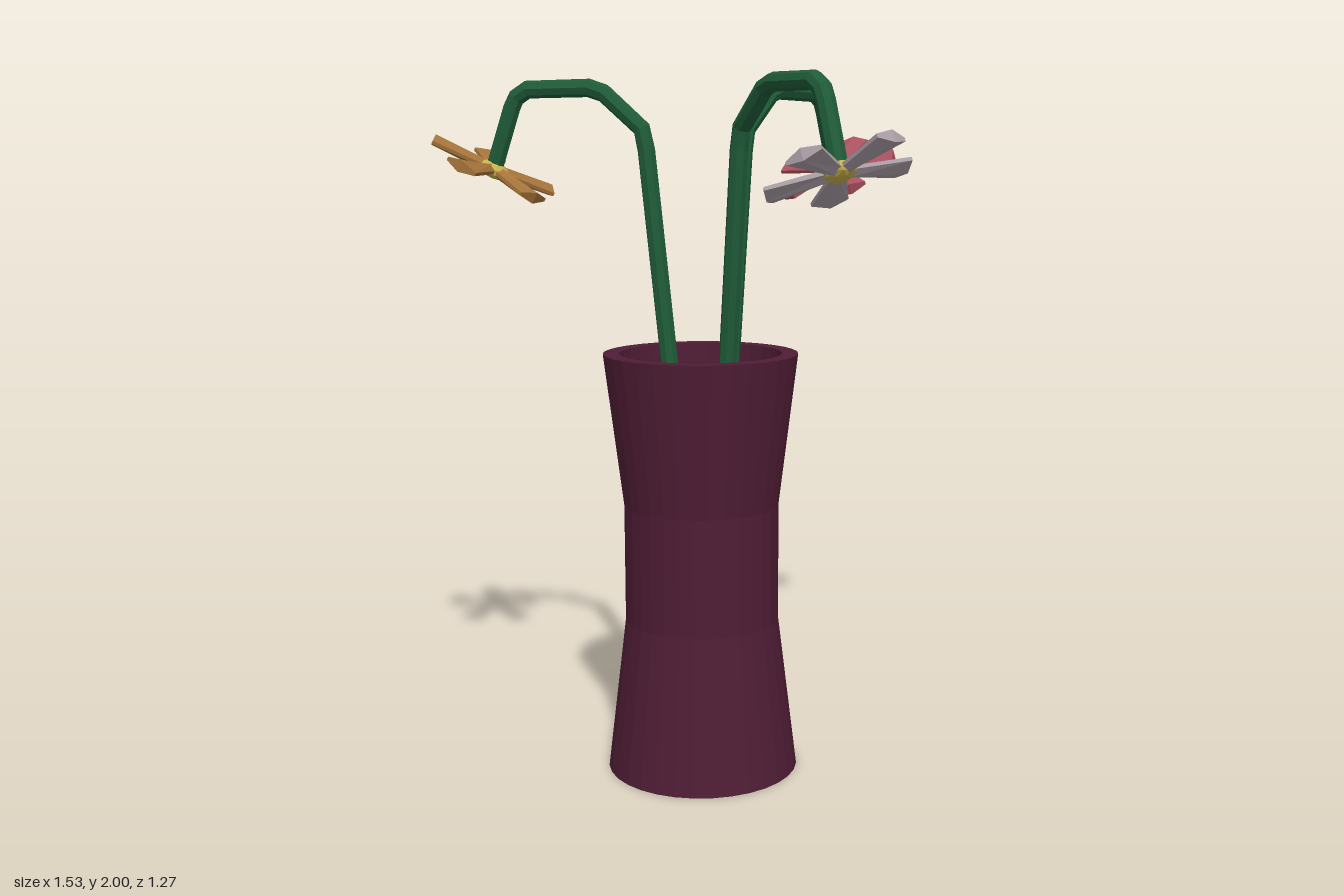
import * as THREE from 'three';

const mat = (color, flatShading = true) => new THREE.MeshStandardMaterial({ color, flatShading });
const deg = THREE.MathUtils.degToRad;

function part(name, geometry, material) {
  const mesh = new THREE.Mesh(geometry, material);
  mesh.name = name;
  return mesh;
}

// Path that puts one tube ring exactly on each given point
class Polyline extends THREE.Curve {
  constructor(points) {
    super();
    this.points = points;
  }
  getPointAt(t, target = new THREE.Vector3()) {
    return target.copy(this.points[Math.round(t * (this.points.length - 1))]);
  }
  getTangentAt(t, target = new THREE.Vector3()) {
    const p = this.points, i = Math.round(t * (p.length - 1));
    target.set(0, 0, 0);
    if (i > 0) target.add(p[i].clone().sub(p[i - 1]).normalize());
    if (i < p.length - 1) target.add(p[i + 1].clone().sub(p[i]).normalize());
    return target.normalize();
  }
}

// Stem side profile: outward distance, height
const STEM = [
  [-0.005, 0.05], [0.116, 1.23], [0.175, 1.8], [0.188, 1.86], [0.3, 1.96],
  [0.345, 1.975], [0.53, 1.972], [0.565, 1.95], [0.58, 1.92], [0.64, 1.745],
];

function stemGeometry() {
  const points = STEM.map(([x, y]) => new THREE.Vector3(x, y, 0));
  return new THREE.TubeGeometry(new Polyline(points), points.length - 1, 0.026, 8);
}

// Petal along +x: a thin slab flared outward, with a ridge down the middle
function petalGeometry() {
  const inner = 0.025, outer = 0.185;
  const geo = new THREE.BoxGeometry(1, 1, 1, 1, 1, 2);
  const pos = geo.attributes.position;
  for (let i = 0; i < pos.count; i++) {
    const tip = pos.getX(i) > 0, ridge = Math.abs(pos.getZ(i)) < 0.1;
    pos.setXYZ(i,
      tip ? outer + (ridge ? 0.009 : 0) : inner,
      Math.sign(pos.getY(i)) * (ridge ? 0.017 : 0.005),
      Math.sign(pos.getZ(i)) * (ridge ? 0 : tip ? 0.05 : 0.021));
  }
  return geo;
}

function createFlower(stemGeo, petalGeo, color, angle) {
  const plant = new THREE.Group();
  plant.add(part('stem', stemGeo, mat(0x1f5c39)));

  // Blossom hangs from the stem end, tipped outward
  const blossom = new THREE.Group();
  blossom.name = 'blossom';
  blossom.position.set(0.64, 1.745, 0);
  blossom.rotation.z = deg(27);
  const petalMat = mat(color);
  for (let i = 0; i < 5; i++) {
    const petal = part('petal', petalGeo, petalMat);
    petal.rotation.y = -deg(-11 + 72 * i);
    blossom.add(petal);
  }
  const centre = part('flowerCentre', new THREE.IcosahedronGeometry(0.046, 1), mat(0xc9b24e));
  centre.scale.y = 0.55;
  blossom.add(centre);
  plant.add(blossom);

  plant.position.set(-0.01, 0, 0.18);
  plant.rotation.y = deg(angle);
  return plant;
}

export function createModel() {
  const model = new THREE.Group();
  model.name = 'vaseWithFlowers';

  // Hollow waisted vase: outer wall, rim, inner wall, floor
  const profile = [
    [0, 0], [0.279, 0], [0.224, 0.45], [0.224, 0.79], [0.279, 1.23],
    [0.233, 1.23], [0.206, 0.79], [0.206, 0.45], [0.235, 0.05], [0, 0.05],
  ].map(([r, y]) => new THREE.Vector2(r, y));
  const vase = part('vase', new THREE.LatheGeometry(profile, 32), mat(0x4f1d35));
  vase.position.set(-0.007, 0, 0.212);
  model.add(vase);

  const stemGeo = stemGeometry(), petalGeo = petalGeometry();
  const flowers = [
    ['backFlower', 0xa9515f, 90],
    ['rightFlower', 0xa4733a, 204],
    ['leftFlower', 0xada0a8, -20],
  ];
  for (const [name, color, angle] of flowers) {
    const flower = createFlower(stemGeo, petalGeo, color, angle);
    flower.name = name;
    model.add(flower);
  }
  return model;
}
